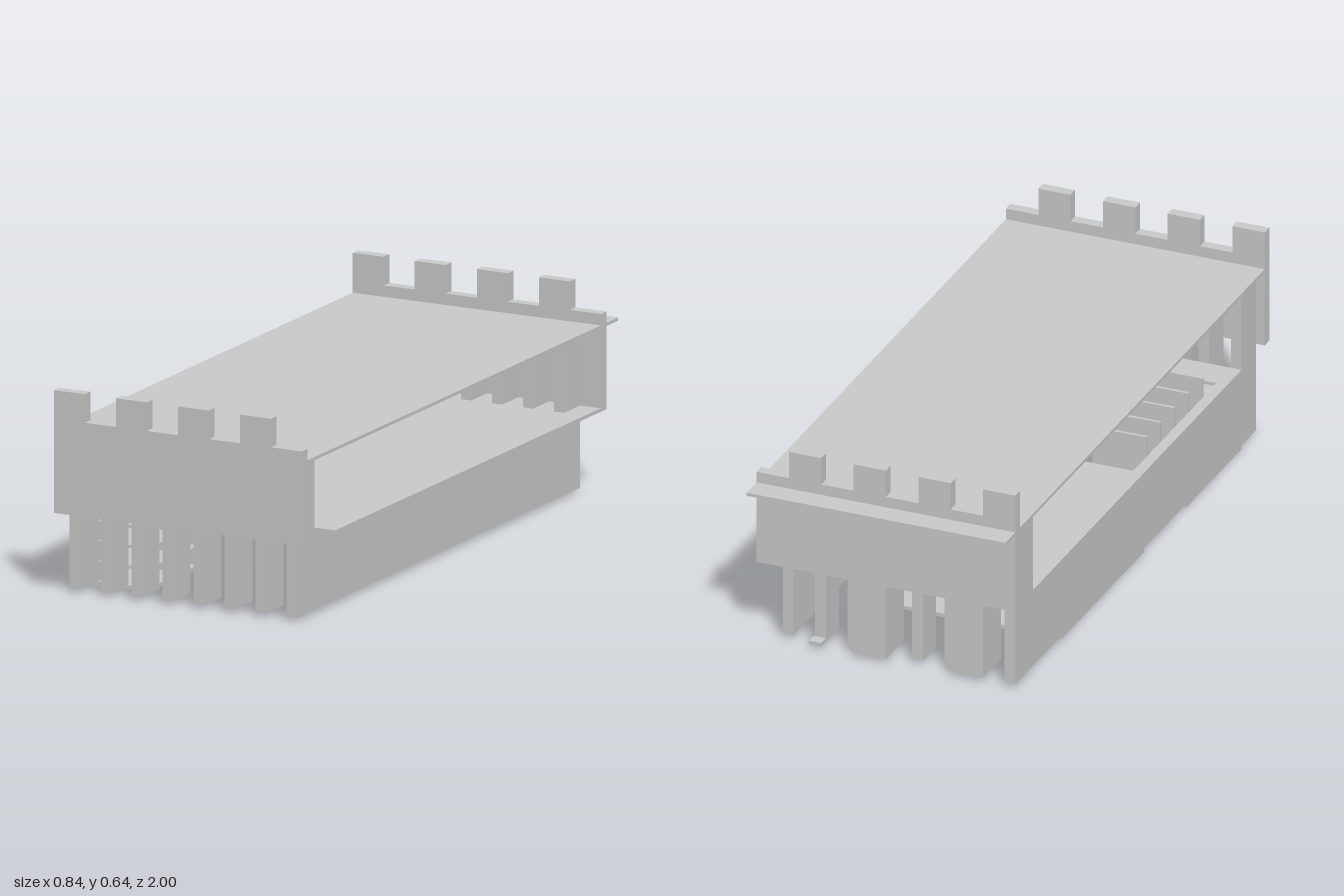
import * as THREE from 'three';

export function createModel() {
  const model = new THREE.Group();
  const stone = new THREE.MeshStandardMaterial({ color: 0xcccccc });
  stone.name = 'light grey stone';

  const add = (name, geometry) => {
    const mesh = new THREE.Mesh(geometry, stone);
    mesh.name = name;
    model.add(mesh);
    return mesh;
  };
  // Box from its lower and upper corners
  const box = (name, x0, x1, y0, y1, z0, z1) =>
    add(name, new THREE.BoxGeometry(x1 - x0, y1 - y0, z1 - z0))
      .position.set((x0 + x1) / 2, (y0 + y1) / 2, (z0 + z1) / 2);

  const W = 0.42, U = 0.105, T = 0.035;

  // Crenellated end wall: four merlons, with a gap at the left end
  const battlement = (name, bottom, z) => {
    const s = new THREE.Shape();
    s.moveTo(-W, bottom);
    s.lineTo(W, bottom);
    s.lineTo(W, 0.555);
    for (let i = 3; i >= 0; i--) {
      const x = -W + 2 * i * U;
      s.lineTo(x + U, 0.555);
      s.lineTo(x + U, 0.643);
      s.lineTo(x, 0.643);
      if (i > 0) s.lineTo(x, 0.555);
    }
    s.closePath();
    add(name, new THREE.ExtrudeGeometry(s, { depth: T, bevelEnabled: false })).position.z = z;
  };
  battlement('frontBattlement', 0.265, 0.965);
  battlement('backBattlement', 0.254, -0.925);

  // Roof slab
  box('roof', -W, W, 0.51, 0.52, -1, 0.965);

  // Upper floor with the stairwell opening
  const plan = new THREE.Shape();
  plan.moveTo(-W, -0.79);
  plan.lineTo(W, -0.79);
  plan.lineTo(W, 0.89);
  plan.lineTo(-W, 0.89);
  plan.closePath();
  const well = new THREE.Path();
  well.moveTo(-0.385, -0.68);
  well.lineTo(-0.385, -0.05);
  well.lineTo(-0.21, -0.05);
  well.lineTo(-0.21, -0.68);
  well.closePath();
  plan.holes.push(well);
  const floor = new THREE.ExtrudeGeometry(plan, { depth: 0.011, bevelEnabled: false });
  floor.rotateX(-Math.PI / 2);
  add('upperFloor', floor).position.y = 0.254;

  // Rows of full-height columns at both ends
  for (let i = 0; i < 8; i++) {
    const x = -W + i * U;
    box('frontColumn', x, x + T, 0.012, 0.51, 0.79, 0.9);
    box('backColumn', x, x + T, 0.012, 0.51, -0.89, -0.79);
  }

  // Lower side walls, between the column rows
  for (const x of [-W, 0.315]) box('sideWall', x, x + T, 0.012, 0.254, -0.79, 0.79);

  // Lower piers of the back wall and a small threshold
  for (const [x0, x1] of [[0, U], [-0.315, -0.21], [-W, -0.385]])
    box('backPier', x0, x1, 0.012, 0.254, -0.925, -0.89);
  box('threshold', 0.21, 0.25, 0.012, 0.024, -0.925, -0.89);

  // Base plates under the ground level
  box('frontBasePlate', -W, -0.21, 0, 0.012, 0.37, 0.79);
  box('backBasePlate', -W, 0.21, 0, 0.012, -0.58, 0.05);

  // Stair slabs, each reaching further back than the one below
  [[0.064, 0.37], [0.127, 0.26], [0.19, 0.155]].forEach(([y, z]) =>
    box('stairSlab', -0.385, -0.21, y, y + 0.009, z, 0.79));

  // Upright stair panels rising above the floor
  [[0.155, 0.19], [0.26, 0.127], [0.365, 0.012], [0.47, 0.012], [0.577, 0.012]].forEach(([z, y]) =>
    box('stairPanel', -0.385, -0.21, y, 0.33, z - 0.005, z + 0.005));

  return model;
}
